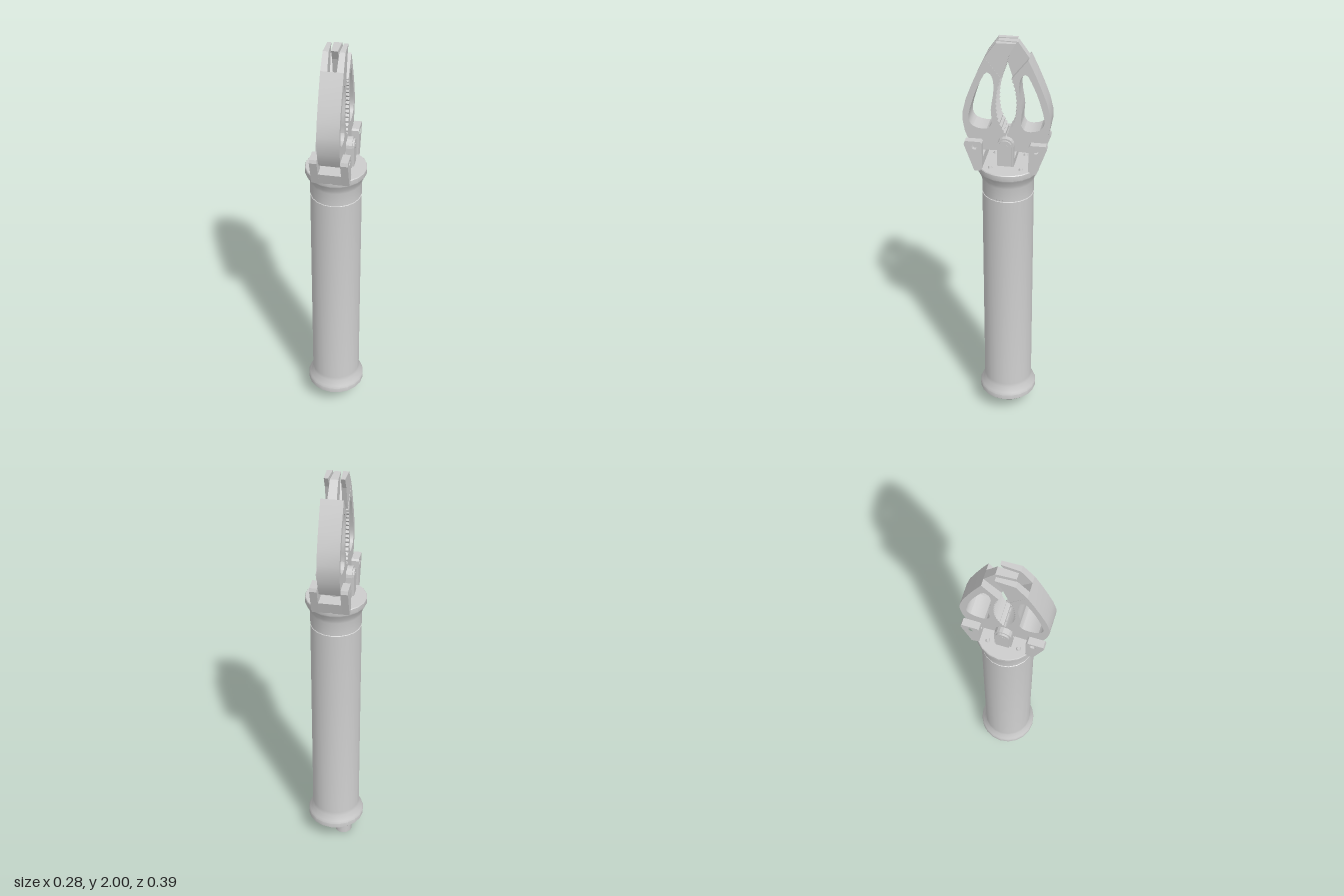
import * as THREE from 'three';
import { toCreasedNormals } from 'three/addons/utils/BufferGeometryUtils.js';

const material = new THREE.MeshStandardMaterial({ color: 0xcccccc });

function add(parent, name, geometry) {
  const mesh = new THREE.Mesh(geometry, material);
  mesh.name = name;
  parent.add(mesh);
  return mesh;
}

// Side outline given as [z, y], extruded across x; side = -1 mirrors it front to back
function plate(points, x0, x1, side = 1, holes = []) {
  const vec = (list) => list.map(([z, y]) => new THREE.Vector2(z * side, y));
  const shape = new THREE.Shape(vec(points));
  shape.holes = holes.map((h) => new THREE.Path(vec(h)));
  const geo = new THREE.ExtrudeGeometry(shape, { depth: x1 - x0, bevelEnabled: false });
  geo.rotateY(-Math.PI / 2).translate(x1, 0, 0);
  return geo;
}

function arc(z, y, r, from = 0, to = Math.PI * 2, n = 10) {
  return Array.from({ length: n }, (_, i) => {
    const a = from + ((to - from) * i) / (to - from > 6 ? n : n - 1);
    return [z + r * Math.cos(a), y + r * Math.sin(a)];
  });
}

// Narrows a fingertip across x towards its end
function taper(geo, side, amount, centre) {
  const p = geo.attributes.position;
  for (let i = 0; i < p.count; i++) {
    const t = THREE.MathUtils.clamp((0.095 - p.getZ(i) * side) / 0.135, 0, 1);
    p.setX(i, centre + (p.getX(i) - centre) * (1 - amount * t));
  }
  geo.computeVertexNormals();
  return geo;
}

function pin(parent, name, y, z, r, halfLength) {
  const geo = new THREE.CylinderGeometry(r, r, halfLength * 2, 10);
  add(parent, name, geo.rotateZ(Math.PI / 2).translate(0, y, z));
}

// Toothed gripping edge, running from bottom to top
function teeth() {
  const curve = new THREE.SplineCurve([
    [0.004, 1.58], [0.033, 1.64], [0.043, 1.71], [0.038, 1.78], [0.022, 1.84],
  ].map(([z, y]) => new THREE.Vector2(z, y)));
  return curve.getPoints(28).map((p, i) => [p.x + (i % 2 ? 0.006 : 0), p.y]);
}

function buildClaw(side) {
  const claw = new THREE.Group();
  claw.name = side > 0 ? 'frontClaw' : 'backClaw';

  // Jaw frame with its long window
  const outline = [
    ...teeth(), [0.095, 1.932], [0.125, 1.87], [0.155, 1.8], [0.18, 1.735], [0.196, 1.67],
    [0.196, 1.63], [0.187, 1.58], [0.172, 1.54], [0.15, 1.5], [0.12, 1.49], [0.035, 1.495],
    [0.035, 1.55], [0.004, 1.565],
  ];
  const opening = new THREE.CatmullRomCurve3([
    [0.086, 1.865], [0.065, 1.85], [0.056, 1.79], [0.069, 1.69], [0.066, 1.625],
    [0.088, 1.597], [0.15, 1.607], [0.169, 1.64], [0.155, 1.715], [0.12, 1.81],
  ].map(([z, y]) => new THREE.Vector3(z, y, 0)), true);
  const hole = opening.getPoints(30).slice(0, -1).map((p) => [p.x, p.y]);
  add(claw, 'jaw', toCreasedNormals(plate(outline, -0.05, 0.05, side, [hole]), 0.3));

  // Interlocking tip: two prongs in front, one tongue behind
  const tip = [
    [0.022, 1.84], [0.012, 1.87], [0, 1.91], [-0.012, 1.95], [-0.04, 2], [0.046, 2], [0.095, 1.932],
  ];
  // Knuckle that reaches the middle pivot
  const knuckle = [
    ...arc(0, 1.53, 0.033, Math.PI / 2, Math.PI * 1.5, 8), [0.05, 1.497], [0.05, 1.55],
  ];
  if (side > 0) {
    for (const s of [-1, 1]) {
      const prong = plate(tip, s > 0 ? 0.02 : -0.05, s > 0 ? 0.05 : -0.02, side);
      add(claw, 'tipProng', taper(prong, side, 0.4, s * 0.039));
    }
    add(claw, 'knuckle', plate(knuckle, -0.018, 0.018, side));
  } else {
    add(claw, 'tipTongue', taper(plate(tip, -0.02, 0.02, side), side, 0.3, 0));
    for (const s of [-1, 1]) {
      add(claw, 'knuckle', plate(knuckle, s > 0 ? 0.022 : -0.046, s > 0 ? 0.046 : -0.022, side));
    }
  }
  return claw;
}

// Fixed fork on the rim that carries the claw
function buildBracket(side) {
  const bracket = new THREE.Group();
  bracket.name = side > 0 ? 'frontBracket' : 'backBracket';
  const cheek = [
    [0.105, 1.405], [0.14, 1.4], [0.187, 1.53], [0.182, 1.546], [0.112, 1.546], [0.105, 1.538],
  ];
  for (const s of [-1, 1]) {
    add(bracket, 'bracketCheek',
      plate(cheek, s > 0 ? 0.052 : -0.086, s > 0 ? 0.086 : -0.052, side, [arc(0.137, 1.52, 0.014)]));
  }
  const bridge = [[0.105, 1.405], [0.14, 1.4], [0.161, 1.46], [0.105, 1.46]];
  add(bracket, 'bracketBridge', plate(bridge, -0.052, 0.052, side));
  pin(bracket, 'bracketPin', 1.52, side * 0.137, 0.012, 0.07);
  return bracket;
}

export function createModel() {
  const model = new THREE.Group();
  model.name = 'gripper';

  // Turned housing with flared ends and a shallow seam
  const profile = [
    [0, 0.1], [0.136, 0.1], [0.142, 0.106], [0.142, 0.13], [0.136, 0.142], [0.123, 0.172],
    [0.12, 0.19], [0.12, 1.264], [0.117, 1.266], [0.117, 1.272], [0.12, 1.274], [0.12, 1.335],
    [0.124, 1.352], [0.138, 1.378], [0.142, 1.386], [0.142, 1.41], [0.139, 1.414], [0, 1.414],
  ].map(([r, y]) => new THREE.Vector2(r, y));
  add(model, 'housing', toCreasedNormals(new THREE.LatheGeometry(profile, 20), 0.5));

  // Off-centre cable stub underneath
  const stub = new THREE.CylinderGeometry(0.042, 0.042, 0.11, 12);
  add(model, 'cableStub', toCreasedNormals(stub.translate(-0.043, 0.055, -0.017), 0.6));

  // Screws on the top face
  for (const x of [-0.072, 0.072]) {
    for (const z of [-0.07, 0.07]) {
      const screw = new THREE.CylinderGeometry(0.007, 0.011, 0.01, 8);
      add(model, 'screw', screw.translate(x, 1.418, z));
    }
  }

  // Sliding yoke in the middle, driven by the rod
  const yoke = new THREE.Group();
  yoke.name = 'yoke';
  const lug = [[-0.038, 1.43], [0.038, 1.43], ...arc(0, 1.53, 0.038, 0, Math.PI, 9)];
  const boss = arc(0, 1.53, 0.03, 0, Math.PI, 9).concat([[-0.03, 1.435], [0.03, 1.435]]);
  for (const s of [-1, 1]) {
    add(yoke, 'yokeCheek', plate(lug, s > 0 ? 0.052 : -0.078, s > 0 ? 0.078 : -0.052));
    add(yoke, 'yokeBoss', plate(boss, s > 0 ? 0.078 : -0.087, s > 0 ? 0.087 : -0.078));
  }
  add(yoke, 'yokeBase', new THREE.BoxGeometry(0.11, 0.03, 0.076).translate(0, 1.445, 0));
  add(yoke, 'driveRod', new THREE.CylinderGeometry(0.02, 0.02, 0.03, 12).translate(0, 1.42, 0));
  pin(yoke, 'yokePin', 1.53, 0, 0.013, 0.088);
  model.add(yoke);

  for (const side of [1, -1]) model.add(buildBracket(side), buildClaw(side));
  return model;
}
